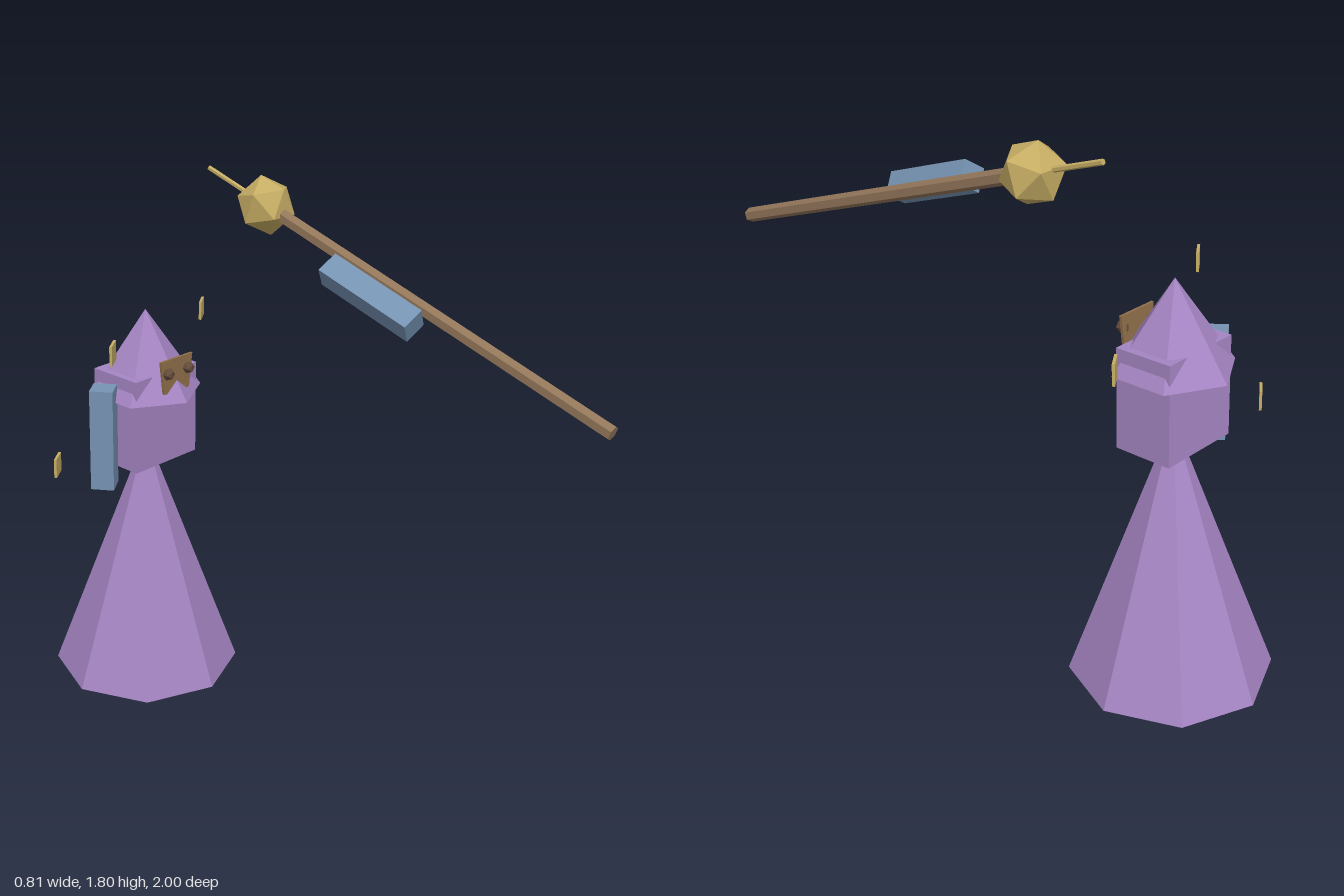
import * as THREE from 'three';

const mat = (name, color) => {
  const m = new THREE.MeshStandardMaterial({ color });
  m.name = name;
  return m;
};

// Gives every face its own normal for a faceted look
const faceted = (geo) => {
  const g = geo.index ? geo.toNonIndexed() : geo;
  g.computeVertexNormals();
  return g;
};

export function createModel() {
  const purple = mat('purple cloth', 0xa585c3);
  const slate = mat('slate blue', 0x7693b3);
  const gold = mat('gold', 0xc6ad64);
  const wood = mat('staff wood', 0x93765a);
  const bronze = mat('mask bronze', 0x90704a);
  const dark = mat('dark eyes', 0x654c3c);

  const model = new THREE.Group();
  const add = (parent, name, geo, material, x = 0, y = 0, z = 0, turn = 0) => {
    const mesh = new THREE.Mesh(faceted(geo), material);
    mesh.name = name;
    mesh.position.set(x, y, z);
    mesh.rotation.y = turn;
    parent.add(mesh);
    return mesh;
  };
  const TURN = 0.61;
  const BLOCK = [0.079, 0.358, 0.079];

  // Robed figure, leaning slightly forward
  const figure = new THREE.Group();
  figure.name = 'figure';
  figure.position.set(-0.03, 0.015, -0.67);
  figure.rotation.x = 0.045;
  model.add(figure);

  add(figure, 'robe', new THREE.ConeGeometry(0.33, 0.9, 8), purple, 0, 0.45, 0);
  add(figure, 'torso', new THREE.BoxGeometry(0.29, 0.33, 0.2), purple, 0, 0.985, 0);
  add(figure, 'hood', new THREE.ConeGeometry(0.196, 0.286, 6), purple, 0, 1.208, 0);
  add(figure, 'sideBlock', new THREE.BoxGeometry(...BLOCK), slate, -0.2, 0.942, 0, TURN);

  // Mask plate with a notched lower edge
  const outline = [
    [-0.075, 0.06], [-0.06, -0.058], [-0.033, -0.06], [0, -0.03],
    [0.033, -0.06], [0.06, -0.058], [0.075, 0.06],
  ].map(([x, y]) => new THREE.Vector2(x, y));
  const maskGeo = new THREE.ExtrudeGeometry(new THREE.Shape(outline.reverse()), {
    depth: 0.009, bevelEnabled: false,
  });
  add(figure, 'mask', maskGeo, bronze, 0, 1.155, 0.139);
  for (const s of [-1, 1]) {
    add(figure, s > 0 ? 'leftEye' : 'rightEye', new THREE.IcosahedronGeometry(0.022, 0),
      dark, s * 0.048, 1.17, 0.156);
  }

  // Floating square charms
  for (const [x, y, z] of [[-0.277, 1.296, 0.13], [-0.345, 0.862, -0.074], [0.4, 1.235, -0.114]]) {
    add(figure, 'charm', new THREE.BoxGeometry(0.068, 0.066, 0.009), gold, x, y, z, TURN);
  }

  // Staff pointing back and up, built along its own y axis
  const staff = new THREE.Group();
  staff.name = 'staff';
  staff.position.set(0.29, 1.217, 0.99);
  staff.rotation.x = -1.224;
  model.add(staff);

  add(staff, 'shaft', new THREE.CylinderGeometry(0.025, 0.025, 1.4, 6), wood, 0, 0.7, 0);
  add(staff, 'orb', new THREE.IcosahedronGeometry(0.1, 0), gold, 0, 1.42, 0);
  add(staff, 'tip', new THREE.CylinderGeometry(0.009, 0.009, 0.24, 6), gold, 0, 1.57, 0);
  add(staff, 'floatingBlock', new THREE.BoxGeometry(...BLOCK), slate, -0.12, 0.855, 0, -TURN);

  return model;
}
